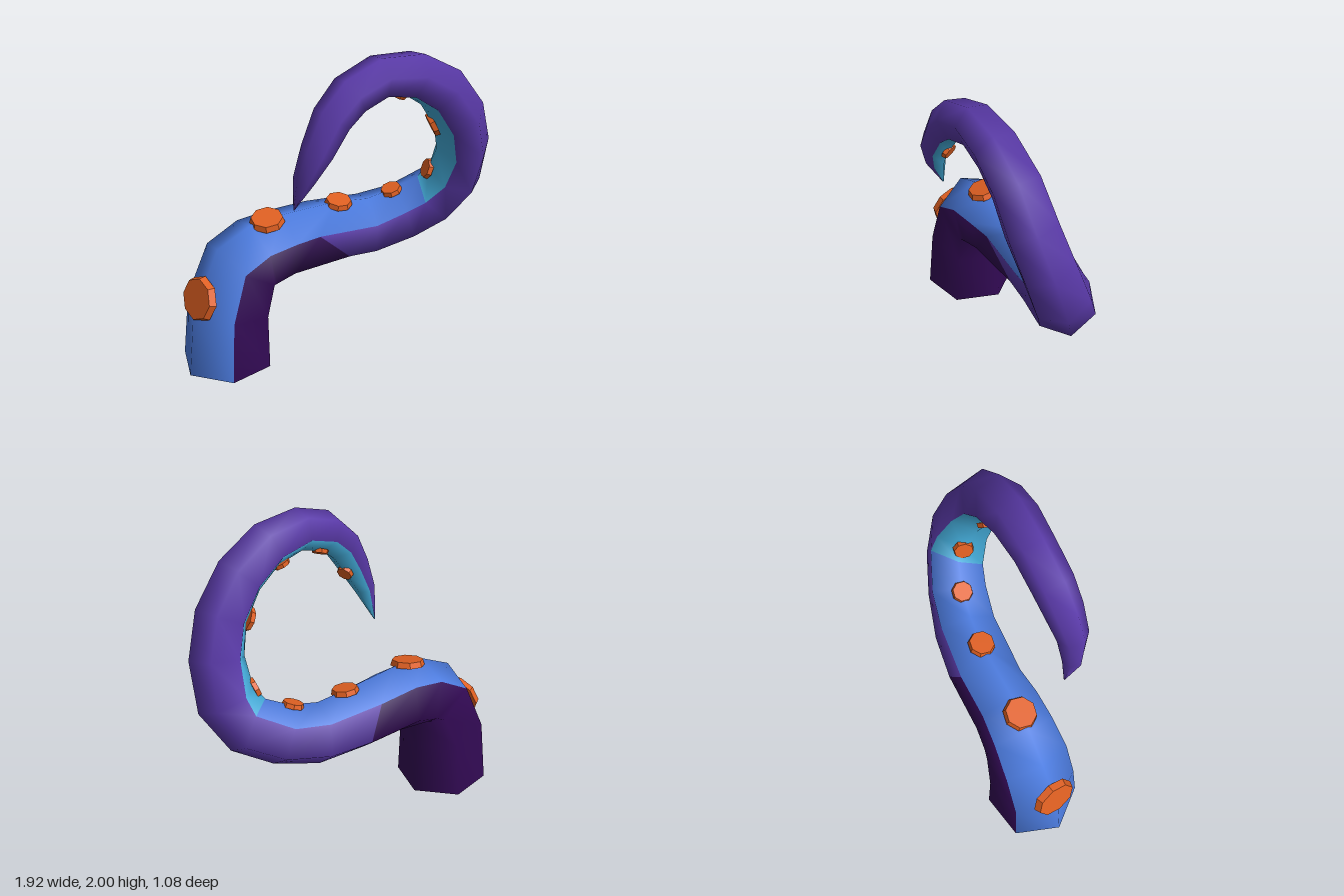
import * as THREE from 'three';

const mat = (name, color) => {
  const m = new THREE.MeshStandardMaterial({ color });
  m.name = name;
  return m;
};

// centre line and thickness: x, y, z, radius
const SPINE = [
  [-0.68, 0, 0.26, 0.29], [-0.665, 0.38, 0.25, 0.27], [-0.58, 0.65, 0.205, 0.255],
  [-0.48, 0.705, 0.145, 0.24], [-0.34, 0.73, 0.06, 0.225], [-0.02, 0.725, -0.15, 0.215],
  [0.2, 0.712, -0.255, 0.205], [0.43, 0.765, -0.325, 0.2], [0.62, 0.86, -0.355, 0.195],
  [0.75, 1.03, -0.33, 0.188], [0.79, 1.27, -0.25, 0.178], [0.75, 1.5, -0.16, 0.172],
  [0.63, 1.71, -0.07, 0.163], [0.46, 1.842, 0.045, 0.15], [0.26, 1.876, 0.17, 0.134],
  [0.09, 1.805, 0.285, 0.131], [-0.015, 1.685, 0.36, 0.12], [-0.1, 1.505, 0.425, 0.1],
  [-0.178, 1.325, 0.435, 0.066], [-0.238, 1.12, 0.4, 0.004],
];
const SIDES = 6;
const DARK_END = 5;  // ring where the dark skin ends
const BLUE_END = 8;  // ring where the blue underside ends

// corners moved along the limb: shoulder ridge and slanted colour borders
const SLIDE = {
  2: [0.04, 0, 0, 0, 0, 0],
  [DARK_END]: [0, -0.2, 0.04, -0.09, 0, -0.11],
  [BLUE_END]: [0.02, -0.02, 0, 0, 0, 0.07],
};

const points = SPINE.map(([x, y, z]) => new THREE.Vector3(x, y, z));

// twist of the sucker ridge around the limb, in degrees
function rollAt(i) {
  if (i < 2) return 16;
  if (i < 7) return 11;
  return Math.max(-12 - Math.max(0, i - 10) * 2, 11 - (i - 6) * 8);
}

// local axes at every ring; n points to the underside with the suckers
const frames = points.map((c, i) => {
  const t = i === 0
    ? new THREE.Vector3(0, 1, 0)
    : points[Math.min(i + 1, points.length - 1)].clone().sub(points[i - 1]).normalize();
  const side = new THREE.Vector3(0.45, 0, 0.89);
  side.addScaledVector(t, -side.dot(t)).normalize();
  const n = side.clone().cross(t);
  n.applyAxisAngle(t, THREE.MathUtils.degToRad(rollAt(i)));
  return { c, t, n, s: t.clone().cross(n), r: SPINE[i][3] };
});

function ringPoint(k, i) {
  const { c, t, n, s, r } = frames[i];
  const a = (k / SIDES) * Math.PI * 2;
  const elbow = k === 3 && (i === 2 || i === 3);
  const ridge = i === 2 ? 0.9 : i > 2 ? 0.94 : 1;
  const rr = r * (elbow ? 0.85 : k === 0 ? ridge : 1);
  return c.clone().addScaledVector(n, Math.cos(a) * rr).addScaledVector(s, Math.sin(a) * rr)
    .addScaledVector(t, SLIDE[i] ? SLIDE[i][k] : 0);
}

// six-sided skin; the two faces beside the sucker ridge form the underside
function buildSkin(materials) {
  const positions = [];
  frames.forEach((f, i) => {
    for (let k = 0; k < SIDES; k++) positions.push(...ringPoint(k, i).toArray());
  });
  const lists = materials.map(() => []);
  for (let i = 0; i < frames.length - 1; i++) {
    for (let k = 0; k < SIDES; k++) {
      const under = k === 0 || k === SIDES - 1;
      const slot = under ? (i < BLUE_END ? 2 : 3) : (i < DARK_END ? 0 : 1);
      const a = i * SIDES + k, b = i * SIDES + (k + 1) % SIDES;
      lists[slot].push(a, b, a + SIDES, b, b + SIDES, a + SIDES);
    }
  }
  const geo = new THREE.BufferGeometry();
  geo.setAttribute('position', new THREE.Float32BufferAttribute(positions, 3));
  geo.setIndex(lists.flat());
  let start = 0;
  lists.forEach((l, m) => { geo.addGroup(start, l.length, m); start += l.length; });
  geo.computeVertexNormals();
  return new THREE.Mesh(geo, materials);
}

// flat end under the foot
function buildBase(material) {
  const pos = [];
  for (let k = 0; k < SIDES; k++) {
    pos.push(...frames[0].c.toArray(), ...ringPoint(k + 1, 0).toArray(),
      ...ringPoint(k, 0).toArray());
  }
  const geo = new THREE.BufferGeometry();
  geo.setAttribute('position', new THREE.Float32BufferAttribute(pos, 3));
  geo.computeVertexNormals();
  return new THREE.Mesh(geo, material);
}

// octagonal disc on the ridge at a fractional ring position
function buildSucker(at, radius, material) {
  const i = Math.floor(at), u = at - i;
  const f = frames[i], g = frames[i + 1];
  const n = f.n.clone().lerp(g.n, u).normalize();
  const r = THREE.MathUtils.lerp(f.r, g.r, u);
  const geo = new THREE.CylinderGeometry(radius * 0.9, radius, 0.015 + radius * 0.2, 8);
  const mesh = new THREE.Mesh(geo.toNonIndexed(), material);
  mesh.geometry.computeVertexNormals();
  mesh.position.copy(f.c).lerp(g.c, u).addScaledVector(n, r * 0.945);
  mesh.quaternion.setFromUnitVectors(new THREE.Vector3(0, 1, 0), n);
  return mesh;
}

export function createModel() {
  const model = new THREE.Group();
  model.name = 'tentacle';
  const dark = mat('dark purple skin', 0x330a55);
  const purple = mat('purple skin', 0x5939a7);
  const blue = mat('blue underside', 0x4c7ce0);
  const cyan = mat('cyan underside', 0x44addb);
  const orange = mat('orange sucker', 0xe06022);

  const skin = buildSkin([dark, purple, blue, cyan]);
  skin.name = 'tentacleSkin';
  const base = buildBase(blue);
  base.name = 'baseCap';
  model.add(skin, base);

  // suckers: ring position, radius
  const suckers = new THREE.Group();
  suckers.name = 'suckers';
  [[1.25, 0.145], [3.52, 0.11], [5.08, 0.088], [6.87, 0.07], [8.92, 0.068],
    [11.1, 0.08], [13.1, 0.058], [14.9, 0.054], [16.88, 0.054]].forEach(([at, r], i) => {
    const s = buildSucker(at, r, orange);
    s.name = `sucker${i + 1}`;
    suckers.add(s);
  });
  model.add(suckers);
  return model;
}
